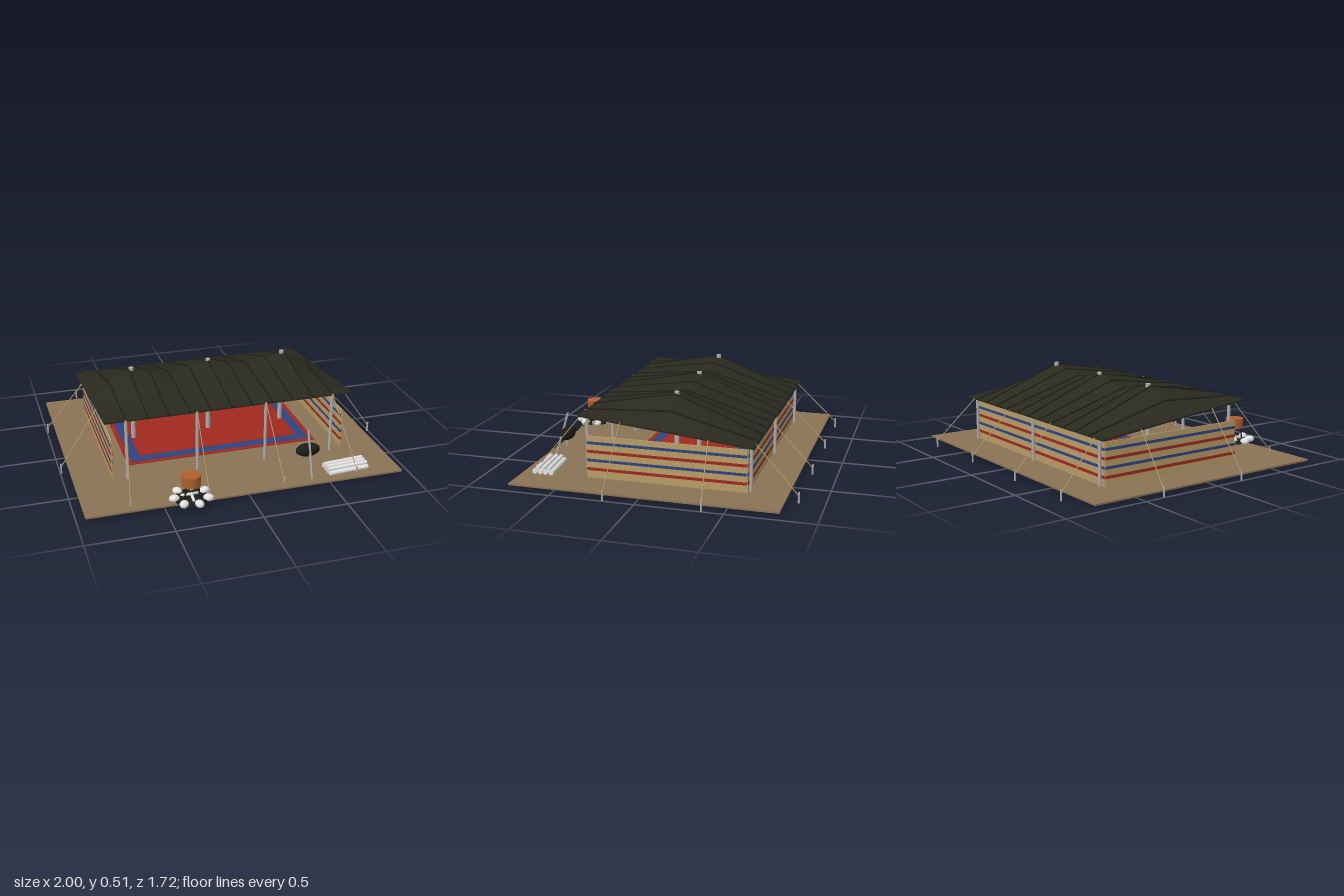
import * as THREE from 'three';

const mat = (name, color) => {
  const m = new THREE.MeshStandardMaterial({ color });
  m.name = name;
  return m;
};

export function createModel() {
  const root = new THREE.Group();
  const earth = mat('earth', 0x8a7355), cloth = mat('dark goat hair', 0x2a291e), black = mat('soot black', 0x1e1e17);
  const sand = mat('sand cloth', 0xb89e68), red = mat('red wool', 0xa1281f), blue = mat('blue wool', 0x2c4482);
  const purple = mat('purple wool', 0x6e2a50), grey = mat('grey wood', 0xadadad);
  const white = mat('pale grey', 0xe6e5e5), copper = mat('copper', 0xb0622e);

  const add = (name, geo, m, x = 0, y = 0, z = 0, parent = root) => {
    const mesh = new THREE.Mesh(geo, m);
    mesh.name = name;
    mesh.position.set(x, y, z);
    parent.add(mesh);
    return mesh;
  };
  // box given by its limits on each axis
  const box = (name, m, x0, x1, y0, y1, z0, z1, parent) =>
    add(name, new THREE.BoxGeometry(x1 - x0, y1 - y0, z1 - z0), m, (x0 + x1) / 2, (y0 + y1) / 2, (z0 + z1) / 2, parent);
  // round rod between two points
  const rod = (name, m, a, b, r, sides = 8, parent = root) => {
    const p = new THREE.Vector3(...a), q = new THREE.Vector3(...b), d = q.clone().sub(p);
    const mesh = add(name, new THREE.CylinderGeometry(r, r, d.length(), sides), m, 0, 0, 0, parent);
    mesh.position.copy(p).add(q).multiplyScalar(0.5);
    mesh.quaternion.setFromUnitVectors(new THREE.Vector3(0, 1, 0), d.normalize());
    return mesh;
  };
  const group = (name) => {
    const g = new THREE.Group();
    g.name = name;
    root.add(g);
    return g;
  };

  // ground and layered carpet
  box('ground', earth, -0.95, 0.95, 0.015, 0.025, -0.79, 0.77);
  const carpet = group('carpet');
  [[0, red], [0.03, blue], [0.09, red]].forEach(([inset, m], i) =>
    box('carpetLayer', m, -0.6 + inset, 0.6 - inset, 0.025, 0.029 + i * 0.002, -0.45 + inset, 0.25 - inset, carpet));

  // roof: chevron cross-sections lofted along x, with the ridge sagging between poles
  const step = 1.52 / 12;
  const ridge = [0.355, 0.43, 0.498, 0.48, 0.452, 0.477, 0.503];
  const ridgeAt = (x) => {
    const t = (0.76 - Math.abs(x)) / step, i = Math.max(0, Math.min(5, Math.floor(t)));
    return ridge[i] + (ridge[i + 1] - ridge[i]) * (t - i);
  };
  const roofStrip = (xs, lift, thick, grow = 0) => {
    const pos = [], idx = [], half = 6, n = half * 2 + 1, ring = n * 2;
    const mix = (a, b, t) => a + (b - a) * t;
    xs.forEach((x) => {
      const top = [], peak = ridgeAt(x);
      for (let k = 0; k < n; k++) {
        const t = k / half;
        top.push(t <= 1
          ? [mix(0.405, peak, t), mix(0.41 + grow, -0.09, t)]
          : [mix(peak, 0.3, t - 1), mix(-0.09, -0.605 - grow, t - 1)]);
      }
      top.forEach(([y, z]) => pos.push(x, y + lift, z));
      top.reverse().forEach(([y, z]) => pos.push(x, y + lift - thick, z));
    });
    for (let i = 0; i < xs.length - 1; i++) for (let k = 0; k < ring; k++) {
      const a = i * ring + k, b = i * ring + (k + 1) % ring, c = b + ring, d = a + ring;
      idx.push(a, d, c, a, c, b);
    }
    const e = (xs.length - 1) * ring;
    for (let k = 0; k < n - 1; k++) {
      const a = k, b = k + 1, c = ring - 2 - k, d = ring - 1 - k;
      idx.push(a, b, c, a, c, d);
      idx.push(e + a, e + c, e + b, e + a, e + d, e + c);
    }
    const g = new THREE.BufferGeometry();
    g.setAttribute('position', new THREE.Float32BufferAttribute(pos, 3));
    g.setIndex(idx);
    const flat = g.toNonIndexed();
    flat.computeVertexNormals();
    return flat;
  };
  const roof = group('roof');
  add('roofCloth', roofStrip(Array.from({ length: 13 }, (_, i) => -0.76 + i * step), 0, 0.01), cloth, 0, 0, 0, roof);
  for (let i = 1; i < 12; i++) {
    const x = -0.76 + i * step;
    add('roofSeam', roofStrip([x - 0.004, x, x + 0.004], 0.005, 0.012, 0.002), black, 0, 0, 0, roof);
  }

  // striped walls, stripes showing on both faces
  const walls = group('walls');
  const bands = [[0.025, 0.275, sand, 0], [0.069, 0.086, red, 1], [0.122, 0.138, blue, 1], [0.174, 0.191, red, 1], [0.226, 0.242, blue, 1]];
  for (const [y0, y1, m, out] of bands) {
    const t = 0.004 + out * 0.002;
    for (const s of [-0.72, 0.72]) box('sideWall', m, s - t, s + t, y0, y1, -0.565, 0.375, walls);
    box('backWall', m, -0.72, 0.72, y0, y1, -0.565 - t, -0.565 + t, walls);
  }

  // poles
  const poles = group('poles');
  for (const x of [-0.49, 0, 0.49]) rod('ridgePole', grey, [x, 0.025, -0.095], [x, 0.512, -0.095], 0.015, 10, poles);
  for (const x of [-0.635, -0.212, 0.212, 0.635]) rod('frontPole', grey, [x, 0.02, 0.405], [x, 0.405, 0.405], 0.01, 8, poles);
  for (const x of [-0.69, 0, 0.69]) rod('backPole', grey, [x, 0.02, -0.58], [x, 0.3, -0.58], 0.01, 8, poles);

  // guy ropes and pegs, mirrored left and right
  const guys = group('guyRopes');
  const lines = [
    [[0.635, 0.405, 0.41], [0.685, 0.035, 0.71]], [[0.212, 0.405, 0.41], [0.227, 0.035, 0.71]],
    [[0.68, 0.3, -0.6], [0.73, 0.04, -0.855]], [[0.235, 0.3, -0.6], [0.252, 0.04, -0.855]],
    [[0.76, 0.38, 0.16], [0.993, 0.04, 0.185]], [[0.76, 0.325, -0.35], [0.993, 0.04, -0.375]],
  ];
  for (const s of [-1, 1]) for (const [a, b] of lines) {
    rod('rope', sand, [a[0] * s, a[1], a[2]], [b[0] * s, b[1], b[2]], 0.003, 6, guys);
    rod('peg', grey, [b[0] * s, 0, b[2]], [b[0] * s, b[1] + 0.022, b[2]], 0.006, 6, guys);
  }

  // bedding piled on a pale chest
  const bedding = group('bedding');
  box('chest', white, -0.2, 0.19, 0.025, 0.145, -0.54, -0.4, bedding);
  [[-0.33, 0.175, sand], [-0.325, 0.165, purple], [-0.32, 0.155, blue], [-0.315, 0.145, sand], [-0.31, 0.135, red]]
    .forEach(([x0, x1, m], i) => box('quilt', m, x0, x1, 0.145 + i * 0.032, 0.177 + i * 0.032, -0.53, -0.42, bedding));

  // other stores along the back wall
  box('blueTrunk', blue, 0.225, 0.37, 0.025, 0.13, -0.52, -0.4);
  box('redTrunk', red, 0.41, 0.54, 0.025, 0.122, -0.52, -0.4);
  for (const x of [-0.612, -0.512]) rod('storageJar', white, [x, 0.025, -0.42], [x, 0.142, -0.42], 0.038, 12);

  // fire pit with stones, trivet and copper pot
  const fire = new THREE.Group();
  fire.name = 'firePit';
  fire.position.set(-0.34, 0.025, 0.73);
  root.add(fire);
  add('ashes', new THREE.CylinderGeometry(0.095, 0.1, 0.012, 16), black, 0, 0.006, 0, fire);
  for (let i = 0; i < 7; i++) {
    const a = Math.PI + (i / 7) * Math.PI * 2;
    const stone = add('stone', new THREE.IcosahedronGeometry(0.032, 1), white, Math.cos(a) * 0.099, 0.016, Math.sin(a) * 0.099, fire);
    stone.scale.set(1, 0.7, 0.8);
    stone.rotation.y = -a;
  }
  for (let i = 0; i < 3; i++) {
    const a = (i / 3) * Math.PI * 2 + 0.5, c = Math.cos(a), s = Math.sin(a);
    rod('trivetLeg', black, [c * 0.055, 0, s * 0.055], [c * 0.04, 0.092, s * 0.04], 0.005, 6, fire);
    rod('firewood', white, [0, 0.03, 0], [-c * 0.06, 0.012, -s * 0.06], 0.009, 6, fire);
  }
  add('pot', new THREE.CylinderGeometry(0.057, 0.054, 0.064, 16), copper, 0, 0.121, 0, fire);

  // churning skin hung on a leaning stick
  add('churnSkin', new THREE.SphereGeometry(0.04, 16, 10), black, 0.4, 0.172, 0.625).scale.x = 1.88;
  rod('churnStick', grey, [0.4, 0.02, 0.71], [0.4, 0.3, 0.622], 0.007, 6);

  // stacked logs
  const logs = group('logs');
  for (let i = 0; i < 4; i++) {
    const z = 0.6 + i * 0.034;
    rod('log', white, [0.51, 0.04, z + 0.008], [0.76, 0.04, z - 0.012], 0.015, 8, logs);
    if (i < 3) rod('log', white, [0.51, 0.058, z + 0.025], [0.76, 0.058, z + 0.005], 0.013, 8, logs);
  }
  return root;
}
